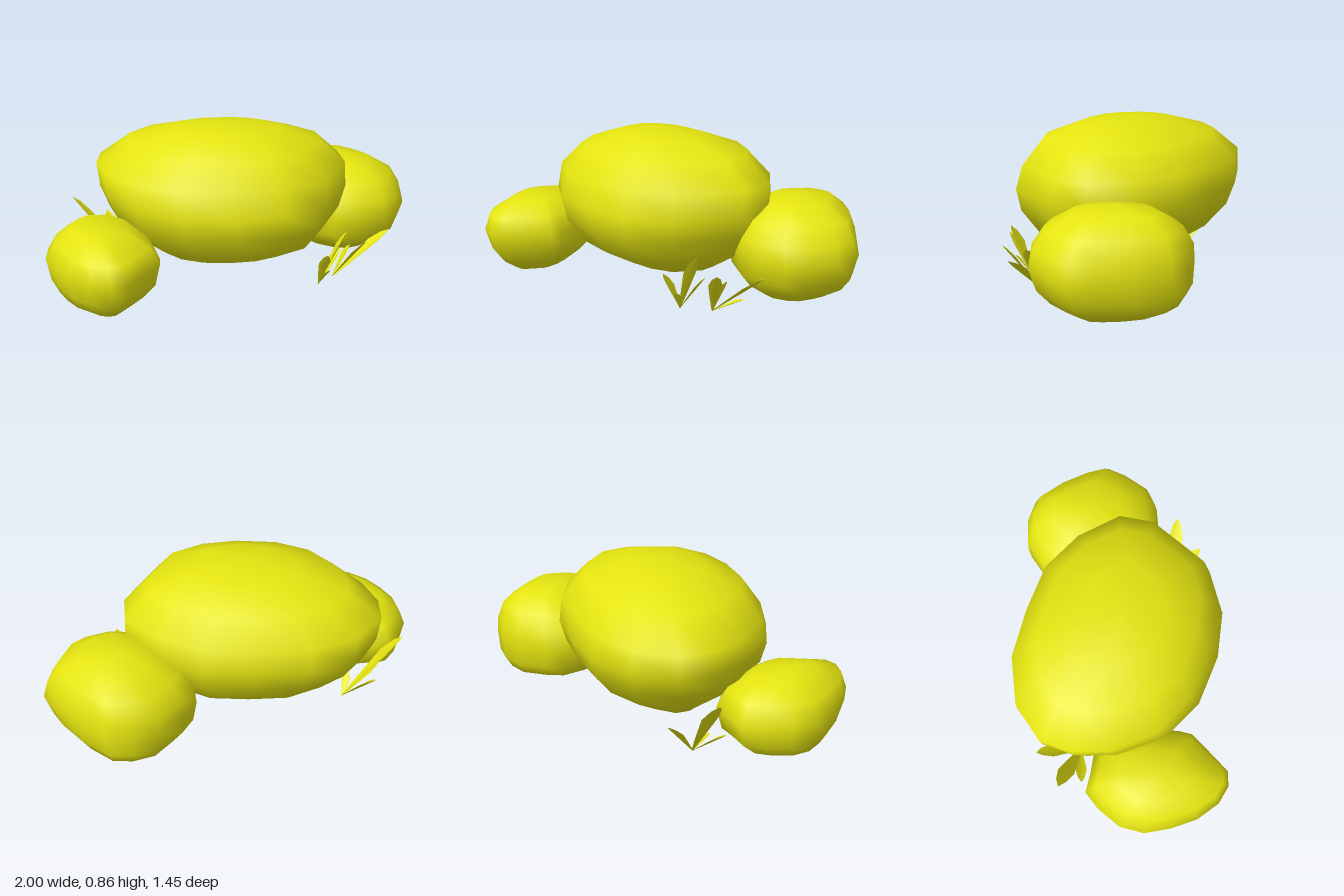
import * as THREE from 'three';

const yellow = new THREE.MeshStandardMaterial({ color: 0xe4e410, side: THREE.DoubleSide });
yellow.name = 'mossyYellow';

function meshFrom(name, positions, index) {
  const g = new THREE.BufferGeometry();
  g.setAttribute('position', new THREE.Float32BufferAttribute(positions, 3));
  g.setIndex(index);
  g.computeVertexNormals();
  const mesh = new THREE.Mesh(g, yellow);
  mesh.name = name;
  return mesh;
}

// A boulder: one plan outline [x, z], fitted into the extents of every level.
// levels: [y, xMin, xMax, zMin, zMax] from top to bottom; top and bottom are [x, y, z].
function boulder(name, plan, levels, top, bottom) {
  const box = new THREE.Box2().setFromPoints(plan.map(p => new THREE.Vector2(...p)));
  const size = box.getSize(new THREE.Vector2());
  const n = plan.length;
  const pos = [...top], index = [];
  for (const [y, x0, x1, z0, z1] of levels) {
    for (const [x, z] of plan) {
      pos.push(
        x0 + (x1 - x0) * (x - box.min.x) / size.x, y,
        z0 + (z1 - z0) * (z - box.min.y) / size.y);
    }
  }
  const last = 1 + levels.length * n;
  pos.push(...bottom);
  for (let i = 0; i < n; i++) {
    const j = (i + 1) % n;
    index.push(0, 1 + j, 1 + i);
    for (let r = 0; r < levels.length - 1; r++) {
      const a = 1 + r * n + i, b = 1 + r * n + j;
      index.push(a, b, a + n, b, b + n, a + n);
    }
    index.push(last, last - n + i, last - n + j);
  }
  return meshFrom(name, pos, index);
}

// A pointed leaf with a raised edge on both sides of its centre fold.
function leaf(base, tip, width) {
  const a = new THREE.Vector3(...base), b = new THREE.Vector3(...tip);
  const dir = b.clone().sub(a);
  const side = new THREE.Vector3(dir.z, 0, -dir.x).normalize();
  const up = dir.clone().cross(side).normalize();
  const pos = [], index = [];
  for (const [t, w] of [[0, 0.12], [0.35, 0.6], [0.7, 1], [0.9, 0.6], [1, 0.02]]) {
    const c = a.clone().addScaledVector(dir, t);
    const h = w * width / 2;
    for (const s of [-1, 0, 1]) {
      const p = c.clone().addScaledVector(side, s * h).addScaledVector(up, Math.abs(s) * h * 0.35);
      pos.push(p.x, p.y, p.z);
    }
  }
  for (let r = 0; r < 4; r++) {
    for (let s = 0; s < 2; s++) {
      const k = r * 3 + s;
      index.push(k, k + 1, k + 3, k + 1, k + 4, k + 3);
    }
  }
  return meshFrom('leaf', pos, index);
}

function tuft(name, base, leaves) {
  const group = new THREE.Group();
  group.name = name;
  for (const [x, y, z, w] of leaves) group.add(leaf(base, [x, y, z], w));
  return group;
}

export function createModel() {
  const model = new THREE.Group();
  model.name = 'boulderCluster';

  // Outlines run clockwise seen from above, starting at the back.
  model.add(boulder('mainBoulder',
    [[-0.35, -0.54], [-0.08, -0.54], [0.18, -0.51], [0.4, -0.38], [0.57, -0.18], [0.58, 0.02],
      [0.42, 0.36], [0.2, 0.48], [-0.05, 0.51], [-0.33, 0.47], [-0.55, 0.34], [-0.7, 0.12],
      [-0.755, -0.08], [-0.74, -0.26], [-0.59, -0.44]],
    [[0.83, -0.34, 0.22, -0.21, 0.2],
      [0.76, -0.58, 0.44, -0.41, 0.375],
      [0.63, -0.755, 0.58, -0.52, 0.46],
      [0.5, -0.74, 0.585, -0.535, 0.51],
      [0.38, -0.69, 0.55, -0.5, 0.49],
      [0.25, -0.56, 0.45, -0.4, 0.4],
      [0.14, -0.42, 0.28, -0.22, 0.2]],
    [-0.07, 0.86, 0], [-0.05, 0.1, 0]));

  model.add(boulder('backBoulder',
    [[0.54, -0.73], [0.67, -0.72], [0.82, -0.6], [0.94, -0.46], [1, -0.36], [0.98, -0.25],
      [0.92, -0.1], [0.83, -0.03], [0.68, 0.02], [0.55, 0], [0.35, -0.12], [0.24, -0.3],
      [0.22, -0.46], [0.28, -0.56], [0.4, -0.69]],
    [[0.54, 0.43, 0.79, -0.58, -0.17],
      [0.47, 0.3, 0.92, -0.68, -0.05],
      [0.38, 0.23, 0.975, -0.72, 0.01],
      [0.29, 0.22, 1, -0.725, 0.02],
      [0.18, 0.24, 0.96, -0.72, 0],
      [0.11, 0.3, 0.9, -0.68, -0.06],
      [0.05, 0.42, 0.8, -0.56, -0.15]],
    [0.6, 0.57, -0.37], [0.6, 0.02, -0.33]));

  model.add(boulder('frontBoulder',
    [[-0.77, 0], [-0.65, -0.01], [-0.52, 0.1], [-0.45, 0.25], [-0.42, 0.4], [-0.42, 0.47],
      [-0.49, 0.58], [-0.57, 0.7], [-0.65, 0.72], [-0.75, 0.69], [-0.86, 0.6], [-0.94, 0.48],
      [-1, 0.35], [-1, 0.22], [-0.94, 0.09], [-0.87, 0]],
    [[0.42, -0.87, -0.58, 0.15, 0.53],
      [0.36, -0.95, -0.47, 0.04, 0.69],
      [0.27, -1, -0.425, -0.01, 0.725],
      [0.15, -0.98, -0.45, 0.02, 0.68],
      [0.08, -0.94, -0.51, 0.1, 0.62],
      [0.02, -0.83, -0.59, 0.2, 0.53]],
    [-0.72, 0.445, 0.38], [-0.7, 0, 0.38]));

  // Leaf tufts: each entry is the tip position and the leaf width.
  model.add(tuft('frontTuft', [0.41, 0.04, 0.28],
    [[0.55, 0.345, 0.3, 0.08], [0.43, 0.26, 0.41, 0.06], [0.53, 0.22, 0.22, 0.06], [0.46, 0.15, 0.35, 0.04]]));
  model.add(tuft('sideTuft', [0.51, 0.02, 0.15],
    [[0.82, 0.265, 0.1, 0.08], [0.66, 0.27, 0.27, 0.07], [0.65, 0.1, 0.07, 0.05], [0.6, 0.2, 0.14, 0.06]]));
  model.add(tuft('backTuft', [-0.6, 0.02, -0.11],
    [[-0.9, 0.42, -0.13, 0.09], [-0.73, 0.27, -0.31, 0.07], [-0.81, 0.2, -0.04, 0.06], [-0.64, 0.12, -0.03, 0.05]]));

  return model;
}
